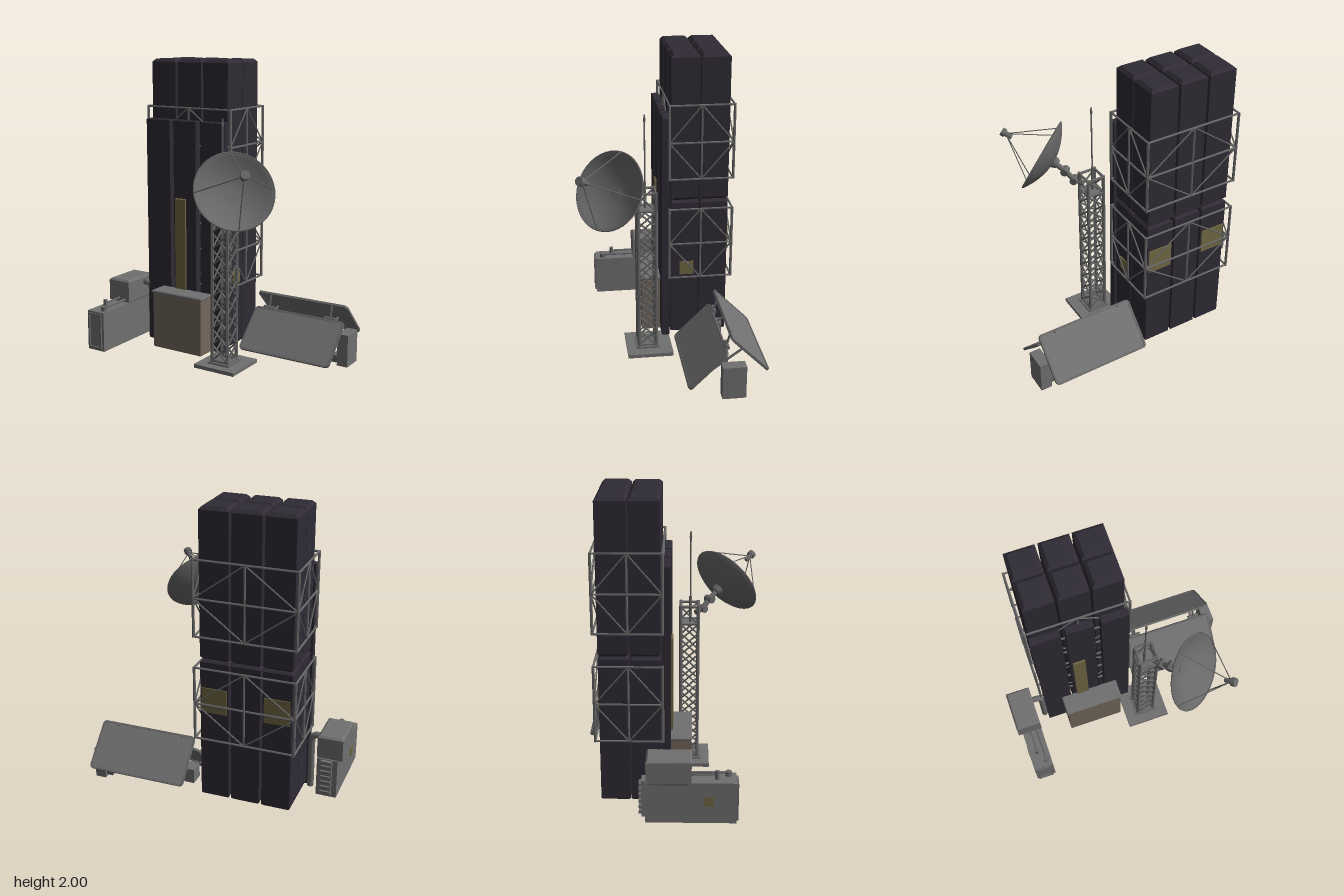
import * as THREE from 'three';

const V = (x, y, z) => new THREE.Vector3(x, y, z);
const mat = (color, flatShading = true) =>
  new THREE.MeshStandardMaterial({ color, flatShading, side: THREE.DoubleSide });
const DARK = mat(0x302b35), GREY = mat(0x707070), STEEL = mat(0x666666);
const YELLOW = mat(0x716843), BROWN = mat(0x74685c), SMOOTH = mat(0x686868, false);

export function createModel() {
  const root = new THREE.Group();

  const group = (name, parent = root) => {
    const g = new THREE.Group();
    g.name = name;
    parent.add(g);
    return g;
  };
  const add = (parent, name, geo, material) => {
    const m = new THREE.Mesh(geo, material);
    m.name = name;
    parent.add(m);
    return m;
  };
  // Box given by its limits on each axis
  const box = (p, name, x0, x1, y0, y1, z0, z1, material) => {
    const m = add(p, name, new THREE.BoxGeometry(x1 - x0, y1 - y0, z1 - z0), material);
    m.position.set((x0 + x1) / 2, (y0 + y1) / 2, (z0 + z1) / 2);
    return m;
  };
  // Box with chamfered top and bottom edges
  const chamferBox = (p, name, x0, x1, y0, y1, z0, z1, c, material) => {
    const w = (x1 - x0) / 2 - c, d = (z1 - z0) / 2 - c;
    const s = new THREE.Shape([[-w, -d], [w, -d], [w, d], [-w, d]].map(q => new THREE.Vector2(...q)));
    const geo = new THREE.ExtrudeGeometry(s, {
      depth: y1 - y0 - 2 * c, bevelThickness: c, bevelSize: c, bevelSegments: 1,
    });
    geo.rotateX(-Math.PI / 2);
    add(p, name, geo, material).position.set((x0 + x1) / 2, y0 + c, (z0 + z1) / 2);
  };
  // Round bar from a to b
  const bar = (p, name, a, b, r, material = STEEL, r2 = r, sides = 6) => {
    const dir = b.clone().sub(a);
    const m = add(p, name, new THREE.CylinderGeometry(r2, r, dir.length(), sides), material);
    m.position.copy(a).add(b).multiplyScalar(0.5);
    m.quaternion.setFromUnitVectors(V(0, 1, 0), dir.normalize());
    return m;
  };

  // Six tall canisters, each in two stacked halves
  const canisters = group('canisters');
  const colX = [-0.571, -0.364, -0.157], rowZ = [-0.43, -0.237];
  for (const x of colX) for (const z of rowZ) {
    chamferBox(canisters, 'lowerCanister', x, x + 0.19, 0.05, 1.022, z, z + 0.187, 0.012, DARK);
    chamferBox(canisters, 'upperCanister', x, x + 0.19, 1.026, 2, z, z + 0.187, 0.02, DARK);
    box(canisters, 'canisterLid', x + 0.03, x + 0.16, 1.99, 2.0, z + 0.03, z + 0.157, DARK);
    bar(canisters, 'foot', V(x + 0.095, 0.03, z + 0.093), V(x + 0.095, 0.06, z + 0.093), 0.03, STEEL, 0.03, 10);
  }
  // Tall slabs along the front
  [[-0.582, -0.39], [-0.36, -0.18], [-0.135, 0.045]].forEach(([a, b]) =>
    chamferBox(canisters, 'frontSlab', a, b, 0.03, 1.6, -0.043, 0.01, 0.006, DARK));

  // Yellow markings
  chamferBox(root, 'frontStrip', -0.345, -0.26, 0.43, 1.07, 0.005, 0.022, 0.006, YELLOW);
  for (const x of [-0.476, -0.062])
    box(root, 'backPlate', x - 0.085, x + 0.085, 0.665, 0.835, -0.437, -0.425, YELLOW);
  box(root, 'sidePlate', 0.025, 0.04, 0.49, 0.585, -0.205, -0.11, YELLOW);

  // Two truss cages around the canisters
  const X0 = -0.598, X1 = 0.063, Z0 = -0.455, Z1 = -0.036;
  const cage = (y0, y1) => {
    const g = group('trussCage'), ym = (y0 + y1) / 2;
    const corners = [[X0, Z0], [X1, Z0], [X1, Z1], [X0, Z1]];
    corners.forEach(([ax, az], i) => {
      const [bx, bz] = corners[(i + 1) % 4];
      const at = (t, y) => V(ax + (bx - ax) * t, y, az + (bz - az) * t);
      bar(g, 'cornerPost', at(0, y0 - 0.005), at(0, y1 + 0.005), 0.009);
      bar(g, 'middlePost', at(0.5, y0), at(0.5, y1), 0.007);
      for (const y of [y0, ym, y1]) bar(g, 'rail', at(0, y), at(1, y), 0.007);
      for (const t of [0, 1]) {
        bar(g, 'brace', at(0.5, y1), at(t, ym), 0.005);
        bar(g, 'brace', at(t, ym), at(0.5, y0), 0.005);
      }
    });
  };
  cage(0.48, 0.975);
  cage(1.185, 1.68);

  // Brown cabinet in front
  const cabinet = group('frontCabinet');
  box(cabinet, 'cabinetBody', -0.45, -0.06, 0.03, 0.42, 0.01, 0.138, BROWN);
  chamferBox(cabinet, 'cabinetLid', -0.46, -0.053, 0.415, 0.436, 0.005, 0.145, 0.006, GREY);

  // Generator at the right side with its exhaust pipe
  const gen = group('generator');
  box(gen, 'generatorBody', -0.803, -0.665, 0.03, 0.305, -0.14, 0.42, GREY);
  chamferBox(gen, 'upperHousing', -0.833, -0.662, 0.3, 0.466, -0.135, 0.143, 0.012, GREY);
  for (const [a, b] of [[-0.793, -0.781], [-0.694, -0.682]])
    box(gen, 'doorFrame', a, b, 0.045, 0.295, 0.42, 0.432, STEEL);
  for (const [a, b] of [[0.045, 0.057], [0.283, 0.295]])
    box(gen, 'doorFrame', -0.793, -0.682, a, b, 0.42, 0.432, STEEL);
  box(gen, 'ventHousing', -0.77, -0.695, 0.05, 0.3, -0.165, -0.14, GREY);
  for (let i = 0; i < 6; i++)
    box(gen, 'louvre', -0.765, -0.7, 0.07 + i * 0.038, 0.085 + i * 0.038, -0.182, -0.16, STEEL);
  bar(gen, 'topPipe', V(-0.7, 0.325, 0.13), V(-0.7, 0.325, 0.37), 0.009);
  bar(gen, 'topPipe', V(-0.745, 0.335, 0.13), V(-0.745, 0.335, 0.29), 0.007);
  bar(gen, 'filler', V(-0.7, 0.3, 0.37), V(-0.7, 0.335, 0.37), 0.02, STEEL, 0.02, 10);
  bar(gen, 'filler', V(-0.745, 0.3, 0.3), V(-0.745, 0.36, 0.3), 0.014, STEEL, 0.014, 10);
  box(gen, 'sideLabelPlate', -0.808, -0.8, 0.15, 0.21, 0.22, 0.28, YELLOW);
  const exhaust = new THREE.CatmullRomCurve3(
    [V(-0.67, 0.42, -0.045), V(-0.63, 0.42, -0.045), V(-0.608, 0.405, -0.045),
      V(-0.602, 0.37, -0.045), V(-0.602, 0.2, -0.045), V(-0.602, 0.03, -0.045)]);
  add(gen, 'exhaustPipe', new THREE.TubeGeometry(exhaust, 30, 0.022, 10), SMOOTH);

  // Lattice mast
  const mast = group('mast'), mx = 0.12, mz = 0.124, h = 0.058;
  box(mast, 'basePlate', -0.03, 0.275, 0, 0.025, -0.04, 0.265, GREY);
  box(mast, 'mastShoe', mx - 0.08, mx + 0.08, 0.02, 0.035, mz - 0.08, mz + 0.08, STEEL);
  const legs = [[-h, -h], [h, -h], [h, h], [-h, h]].map(([x, z]) => [mx + x, mz + z]);
  legs.forEach(([ax, az], i) => {
    const [bx, bz] = legs[(i + 1) % 4];
    bar(mast, 'mastLeg', V(ax, 0.025, az), V(ax, 1.15, az), 0.011);
    for (let k = 0; k < 9; k++) {
      const y = 0.045 + k * 0.108, y2 = y + 0.108;
      bar(mast, 'crossBrace', V(ax, y, az), V(bx, y2, bz), 0.006);
      bar(mast, 'crossBrace', V(bx, y, bz), V(ax, y2, az), 0.006);
    }
    for (const y of [0.045, 1.02, 1.14]) bar(mast, 'mastRing', V(ax, y, az), V(bx, y, bz), 0.009);
    bar(mast, 'crossBrace', V(ax, 1.02, az), V(bx, 1.14, bz), 0.006);
  });
  box(mast, 'mastDeck', mx - h, mx + h, 1.01, 1.022, mz - h, mz + h, GREY);
  bar(mast, 'whipBase', V(0.108, 1.02, 0.13), V(0.108, 1.2, 0.13), 0.009);
  bar(mast, 'whipAntenna', V(0.108, 1.2, 0.13), V(0.108, 1.6, 0.13), 0.005);
  bar(mast, 'whipTip', V(0.108, 1.6, 0.13), V(0.108, 1.645, 0.13), 0.009, STEEL, 0.004);

  // Dish, modelled along its own y axis with the rim at y = 0
  const dish = group('dish');
  dish.position.set(0.35, 1.24, 0.375);
  const dir = V(0.62, 0.47, 0.62).normalize();
  const side = V(1, 0, -1).normalize();
  dish.quaternion.setFromRotationMatrix(
    new THREE.Matrix4().makeBasis(side, dir, side.clone().cross(dir)));
  const R = 0.25, D = 0.085, bowl = [];
  for (let i = 0; i <= 12; i++) bowl.push(new THREE.Vector2(R * i / 12, D * ((i / 12) ** 2 - 1)));
  for (let i = 12; i >= 0; i--) bowl.push(new THREE.Vector2(R * i / 12, D * ((i / 12) ** 2 - 1) - 0.008));
  add(dish, 'reflector', new THREE.LatheGeometry(bowl, 40), SMOOTH);
  add(dish, 'rim', new THREE.TorusGeometry(R, 0.005, 6, 40), SMOOTH).rotation.x = Math.PI / 2;
  for (let i = 0; i < 4; i++) {
    const a = i * Math.PI / 2;
    bar(dish, 'feedStrut', V(R * Math.cos(a), 0, R * Math.sin(a)),
      V(0.015 * Math.cos(a), 0.255, 0.015 * Math.sin(a)), 0.0035);
  }
  bar(dish, 'feedHorn', V(0, 0.225, 0), V(0, 0.275, 0), 0.014, SMOOTH, 0.02, 12);
  bar(dish, 'feedCap', V(0, 0.275, 0), V(0, 0.303, 0), 0.028, SMOOTH, 0.028, 12);
  bar(dish, 'hub', V(0, -0.125, 0), V(0, -0.08, 0), 0.03, SMOOTH, 0.045, 12);

  // Arm joining dish and mast
  const arm = group('dishArm');
  const path = [V(0.16, 1.07, 0.165), V(0.2, 1.085, 0.21), V(0.24, 1.14, 0.26), V(0.29, 1.19, 0.315)];
  for (let i = 0; i < 3; i++) bar(arm, 'armLink', path[i], path[i + 1], 0.018, STEEL, 0.018, 8);
  for (const p of [path[1], path[2]]) {
    const e = side.clone().multiplyScalar(0.03);
    bar(arm, 'armJoint', p.clone().sub(e), p.clone().add(e), 0.026, STEEL, 0.026, 10);
  }

  // Pair of tilted panels forming a ridge
  const panels = group('panels');
  const rounded = (Shape, w, d, r) => {
    const s = new Shape();
    s.absarc(w - r, d - r, r, 0, Math.PI / 2);
    s.absarc(r - w, d - r, r, Math.PI / 2, Math.PI);
    s.absarc(r - w, r - d, r, Math.PI, Math.PI * 1.5);
    s.absarc(w - r, r - d, r, Math.PI * 1.5, Math.PI * 2);
    s.closePath();
    return s;
  };
  const panel = (y, z, tilt) => {
    const g = group('tiltedPanel', panels);
    g.position.set(0.452, y, z);
    g.rotation.x = tilt;
    const opt = depth => ({ depth, bevelEnabled: false, curveSegments: 5 });
    add(g, 'panelSheet', new THREE.ExtrudeGeometry(rounded(THREE.Shape, 0.336, 0.168, 0.025), opt(0.008)), GREY)
      .position.z = -0.004;
    const rim = rounded(THREE.Shape, 0.338, 0.17, 0.027);
    rim.holes.push(rounded(THREE.Path, 0.325, 0.157, 0.018));
    add(g, 'panelRim', new THREE.ExtrudeGeometry(rim, opt(0.016)), STEEL).position.z = -0.008;
  };
  panel(0.178, -0.188, -Math.PI / 4);
  panel(0.282, -0.448, -Math.PI * 0.75);
  for (const x of [0.21, 0.675]) {
    bar(panels, 'hinge', V(x - 0.04, 0.3, -0.318), V(x + 0.04, 0.3, -0.318), 0.014, STEEL, 0.014, 10);
    bar(panels, 'panelStrut', V(x, 0.3, -0.318), V(x, 0.4, -0.345), 0.008);
    bar(panels, 'panelStrut', V(x, 0.13, -0.235), V(x, 0.28, -0.44), 0.009);
    bar(panels, 'panelStrut', V(x, 0.13, -0.32), V(x, 0.3, -0.318), 0.009);
  }
  bar(panels, 'crossBeam', V(0.15, 0.14, -0.32), V(0.77, 0.14, -0.32), 0.01);
  box(panels, 'controlBox', 0.755, 0.83, 0.005, 0.225, -0.42, -0.27, GREY);
  box(panels, 'controlFoot', 0.71, 0.765, 0.02, 0.07, -0.4, -0.28, STEEL);
  box(panels, 'innerBox', 0.11, 0.18, 0.08, 0.18, -0.38, -0.28, GREY);

  return root;
}
